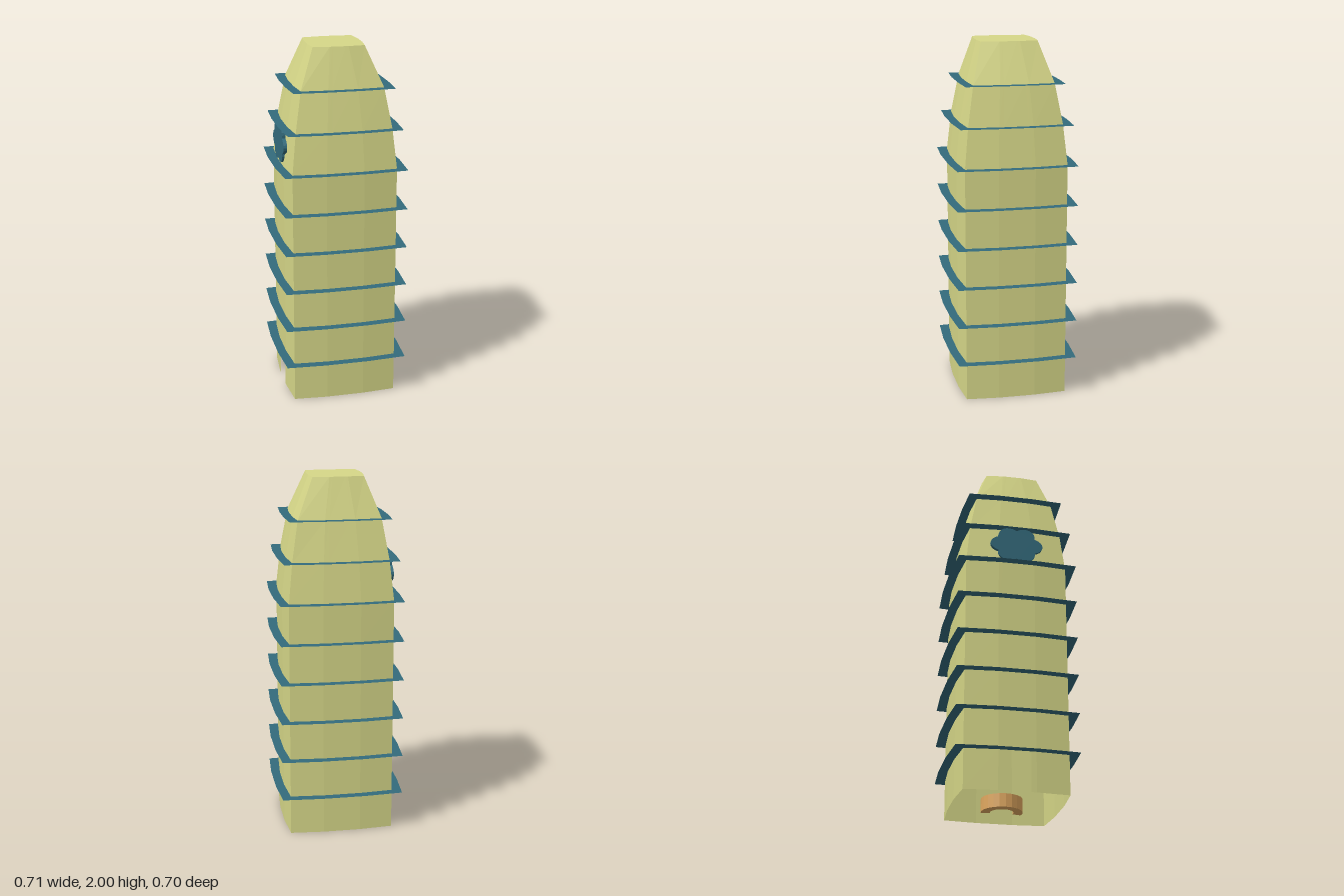
import * as THREE from 'three';

const STEP = 2 / 9; // storey height
const mat = (color) => new THREE.MeshStandardMaterial({ color, flatShading: true, side: THREE.DoubleSide });

// Plan outlines: four corners [x, z] (back right, front right, front left, back left) and side bulge
const base = { corners: [[-0.293, -0.284], [-0.3, 0.285], [0.284, 0.287], [0.288, -0.284]], bulge: 0.015 };
const scaled = (s, bulge) => ({ corners: base.corners.map(([x, z]) => [x * s, z * s]), bulge });
const upper = [
  scaled(0.92, 0.014),
  { corners: [[-0.233, -0.218], [-0.238, 0.223], [0.222, 0.227], [0.228, -0.222]], bulge: 0.011 },
  { corners: [[-0.148, -0.143], [-0.157, 0.157], [0.128, 0.165], [0.135, -0.148]], bulge: 0.011 },
];
const plan = (level) => (level <= 6 ? base : upper[level - 7]);

const NORMALS = [[-1, 0], [0, 1], [1, 0], [0, -1]];
const SIDE = [-1, -0.36, -0.26, 0.26, 0.36]; // stations along each side

// Bowed square loop at a storey, optionally offset outwards
function outline(level, offset = 0) {
  const { corners, bulge } = plan(level);
  const out = corners.map(([x, z]) => [x + Math.sign(x) * offset, z + Math.sign(z) * offset]);
  const points = [];
  NORMALS.forEach(([nx, nz], side) => {
    const a = out[side], b = out[(side + 1) % 4];
    for (const t of SIDE) {
      const k = (t + 1) / 2, d = t === -1 ? 0 : bulge;
      points.push(new THREE.Vector3(
        a[0] + (b[0] - a[0]) * k + nx * d, level * STEP, a[1] + (b[1] - a[1]) * k + nz * d));
    }
  });
  return points;
}

// Quads between two closed loops, leaving out any that skip() names
function strip(triangles, lower, top, skip = () => false) {
  lower.forEach((p, i) => {
    if (skip(i)) return;
    const j = (i + 1) % lower.length;
    triangles.push(p, lower[j], top[j], p, top[j], top[i]);
  });
}

function mesh(name, geometry, material) {
  const m = new THREE.Mesh(geometry, material);
  m.name = name;
  return m;
}

function fromTriangles(triangles) {
  const g = new THREE.BufferGeometry().setFromPoints(triangles);
  g.computeVertexNormals();
  return g;
}

export function createModel() {
  const group = new THREE.Group();
  group.name = 'tower';
  const wallMat = mat(0xd6d788);
  const trimMat = mat(0x336b7c);

  // Hollow walls, with a doorway in the right side's ground storey
  const walls = [];
  for (let level = 0; level < 9; level++) {
    strip(walls, outline(level), outline(level + 1), (i) => level === 0 && i === 2);
  }
  group.add(mesh('walls', fromTriangles(walls), wallMat));

  // Flat roof
  const roof = [];
  const rim = outline(9);
  const centre = new THREE.Vector3(-0.005, 2, 0.006);
  rim.forEach((p, i) => roof.push(p, rim[(i + 1) % rim.length], centre));
  group.add(mesh('roof', fromTriangles(roof), wallMat));

  // Thin ledge around every storey
  for (let level = 1; level <= 8; level++) {
    const ledge = [];
    strip(ledge, outline(level, 0.05), outline(level));
    group.add(mesh('ledge', fromTriangles(ledge), trimMat));
  }

  // Scalloped plaque above the doorway
  const lobes = [];
  for (let i = 0; i < 48; i++) {
    const a = (i / 48) * Math.PI * 2;
    const r = 0.8 + 0.2 * Math.abs(Math.sin(a * 3 + Math.PI / 2));
    lobes.push(new THREE.Vector2(0.15 * r * Math.cos(a), 0.112 * r * Math.sin(a)));
  }
  const plaqueGeo = new THREE.ExtrudeGeometry(new THREE.Shape(lobes), { depth: 0.02, bevelEnabled: false });
  plaqueGeo.rotateY(-Math.PI / 2);
  const plaque = mesh('plaque', plaqueGeo, trimMat);
  plaque.position.set(-0.3, 1.45, 0);
  group.add(plaque);

  // Curved desk on the ground floor, facing the doorway
  const desk = new THREE.Shape();
  desk.absarc(0, 0, 0.115, Math.PI * 0.42, Math.PI * 1.58, false);
  desk.absarc(0, 0, 0.065, Math.PI * 1.58, Math.PI * 0.42, true);
  const deskGeo = new THREE.ExtrudeGeometry(desk, { depth: 0.075, bevelEnabled: false, curveSegments: 6 });
  deskGeo.rotateX(-Math.PI / 2);
  const deskMesh = mesh('desk', deskGeo, mat(0xe0a860));
  deskMesh.position.set(0.085, 0.002, 0);
  group.add(deskMesh);

  return group;
}
